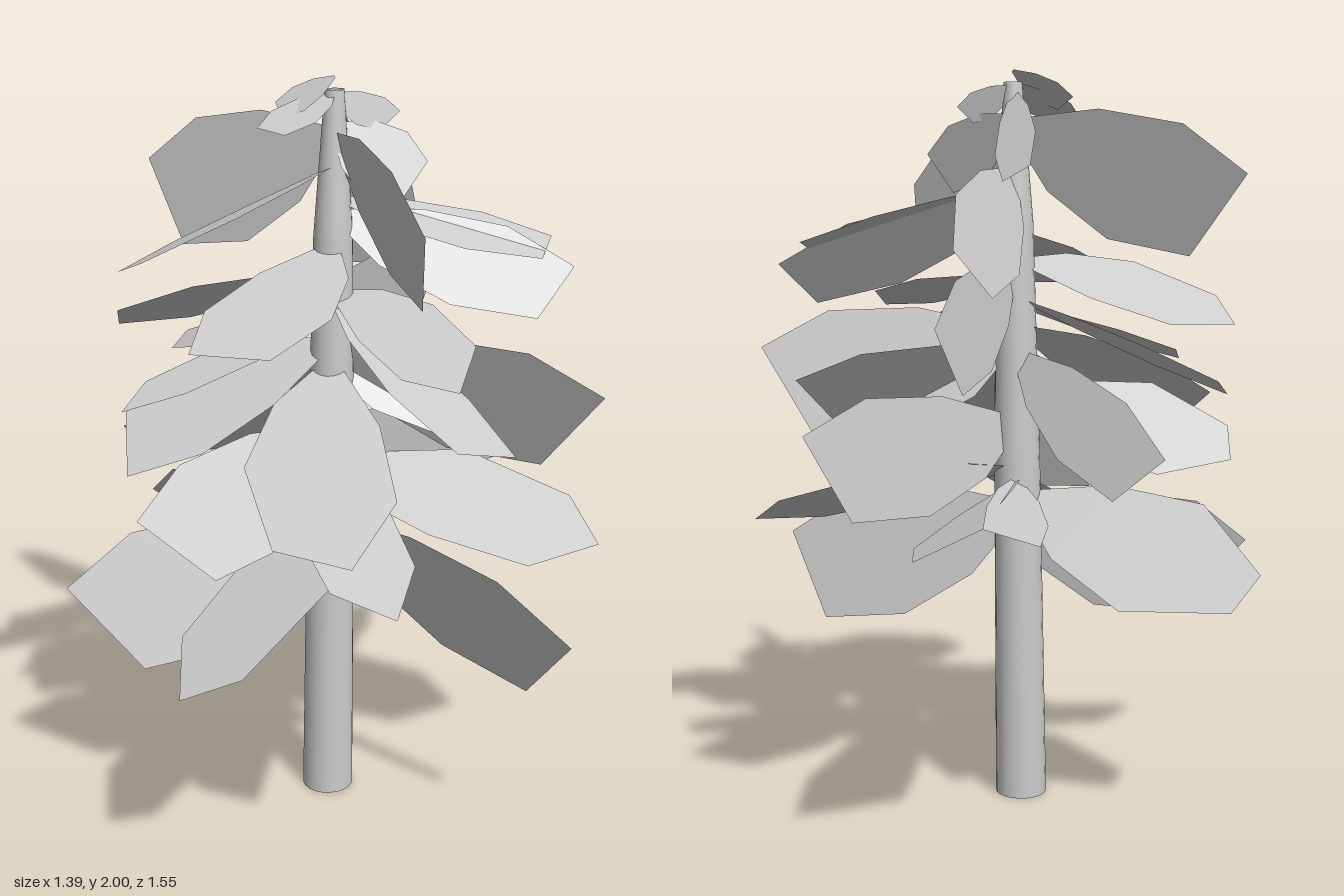
import * as THREE from 'three';

// Each leaf: [root height, tip corner A x,y,z, tip corner B x,y,z,
//             optional broadness on side A, on side B]
const lowerLeaves = [
  [0.82, 0.65, 0.67, 0.41, 0.53, 0.45, 0.24],
  [0.82, -0.70, 0.67, 0.32, -0.49, 0.45, 0.32],
  [0.92, -0.25, 0.62, 0.77, -0.10, 0.68, 0.75, 2.5],
  [0.90, -0.10, 0.87, -0.65, 0.03, 0.94, -0.78, 1.3, 1.0],
  [0.90, 0.03, 0.94, -0.78, 0.19, 0.86, -0.77, 0.6, 1.9],
  [0.86, -0.66, 0.72, -0.31, -0.58, 0.635, -0.37, 2.9],
  [0.93, 0.69, 0.79, 0.02, 0.60, 0.87, -0.12, 2.4],
  [1.06, 0.11, 0.92, 0.74, 0.27, 0.87, 0.75, 2.0],
  [1.08, -0.42, 0.97, 0.53, -0.24, 0.80, 0.47],
  [1.12, -0.61, 1.05, 0.06, -0.61, 0.97, -0.03, 2.7],
  [1.06, 0.48, 1.10, -0.47, 0.37, 0.87, -0.40],
];
const middleLeaves = [
  [1.27, -0.05, 0.97, 0.64, 0.15, 0.955, 0.68, 2.0],
  [1.25, -0.39, 1.07, -0.61, -0.27, 0.96, -0.56],
  [1.30, 0.69, 1.25, 0.18, 0.53, 1.02, 0.06],
  [1.25, 0.54, 1.20, -0.17, 0.46, 1.07, -0.02],
  [1.32, -0.57, 1.13, 0.15, -0.50, 1.02, 0.36],
  [1.40, -0.57, 1.18, -0.27, -0.54, 1.22, -0.33, 1.7],
  [1.38, -0.50, 1.20, 0.38, -0.48, 1.24, 0.24, 1.6],
  [1.44, 0.37, 1.20, 0.52, 0.50, 1.18, 0.46],
  [1.45, 0.38, 1.40, 0.30, 0.37, 1.345, 0.51, 1.7],
  [1.48, 0.15, 1.37, -0.57, 0.09, 1.20, -0.47],
  [1.50, -0.58, 1.40, 0.15, -0.62, 1.33, 0.03, 2.2],
];
const upperLeaves = [
  [1.70, 0.51, 1.56, -0.25, 0.50, 1.53, -0.10, 1.6],
  [1.66, 0.58, 1.50, -0.16, 0.50, 1.39, -0.02, 1.5],
  [1.58, -0.27, 1.41, 0.54, -0.07, 1.41, 0.55, 1.6],
  [1.74, 0.11, 1.55, -0.49, 0.02, 1.43, -0.40, 1.7],
  [1.85, 0.28, 1.70, 0.49, 0.26, 1.50, 0.38],
  [1.86, -0.61, 1.73, -0.25, -0.48, 1.52, -0.13],
  [1.78, -0.50, 1.555, 0.36, -0.41, 1.60, 0.45, 2.7],
  [1.88, 0.20, 1.78, -0.06, 0.14, 1.68, 0.06],
  [1.95, -0.07, 1.75, -0.25, 0.00, 1.71, -0.22, 1.5],
  [1.97, -0.20, 1.88, 0.13, -0.12, 1.87, 0.17, 1.6],
  [1.96, 0.12, 1.90, -0.10, 0.08, 1.86, -0.03],
  [2.0, -0.18, 1.93, 0.02, -0.14, 1.90, 0.10],
];

// Trunk centre line leans slightly towards the top
const trunkCentre = y => new THREE.Vector3(-0.045 + 0.0125 * y, y, 0.05);

// Flat leaf: narrow stem, broad middle, cut-off tip
function leafGeometry([rootY, ax, ay, az, bx, by, bz, broadA = 1.4, broadB = broadA]) {
  const root = trunkCentre(rootY);
  const a = new THREE.Vector3(ax, ay, az);
  const b = new THREE.Vector3(bx, by, bz);
  const tip = a.clone().add(b).multiplyScalar(0.5);
  const half = a.clone().sub(b).multiplyScalar(0.5);
  const sections = [
    [0, 0.15, 0.15],
    [0.3, broadA * 0.72, broadB * 0.72],
    [0.65, broadA, broadB],
    [1, 1, 1],
  ];
  const points = [];
  const index = [];
  sections.forEach(([t, wA, wB], i) => {
    const mid = root.clone().lerp(tip, t);
    points.push(mid.clone().addScaledVector(half, wA), mid.clone().addScaledVector(half, -wB));
    const k = i * 2;
    if (i < sections.length - 1) index.push(k, k + 1, k + 2, k + 1, k + 3, k + 2);
  });
  const geometry = new THREE.BufferGeometry().setFromPoints(points);
  geometry.setIndex(index);
  geometry.computeVertexNormals();
  return geometry;
}

// Open tapered tube whose rings follow the trunk centre line
function trunkGeometry(y0, y1, r0, r1) {
  const geometry = new THREE.CylinderGeometry(r1, r0, y1 - y0, 20, 1, true);
  geometry.translate(0, (y0 + y1) / 2, 0);
  const p = geometry.attributes.position;
  for (let i = 0; i < p.count; i++) {
    const c = trunkCentre(p.getY(i));
    p.setX(i, p.getX(i) + c.x);
    p.setZ(i, p.getZ(i) + c.z);
  }
  return geometry;
}

export function createModel() {
  const tree = new THREE.Group();
  tree.name = 'tree';
  const material = new THREE.MeshStandardMaterial({ color: 0xcccccc, side: THREE.DoubleSide });
  const leafMaterial = material.clone();
  leafMaterial.flatShading = true;

  const add = (parent, name, geometry, mat) => {
    const mesh = new THREE.Mesh(geometry, mat);
    mesh.name = name;
    parent.add(mesh);
  };

  // Trunk
  add(tree, 'trunkBase', trunkGeometry(0, 0.13, 0.071, 0.07), material);
  add(tree, 'lowerTrunk', trunkGeometry(0.13, 0.95, 0.07, 0.063), material);
  add(tree, 'middleTrunk', trunkGeometry(0.95, 1.6, 0.063, 0.051), material);
  add(tree, 'upperTrunk', trunkGeometry(1.6, 1.97, 0.051, 0.025), material);

  // Three tiers of leaves
  const tiers = { lowerLeaves, middleLeaves, upperLeaves };
  for (const [name, leaves] of Object.entries(tiers)) {
    const tier = new THREE.Group();
    tier.name = name;
    for (const leaf of leaves) add(tier, 'leaf', leafGeometry(leaf), leafMaterial);
    tree.add(tier);
  }
  return tree;
}
